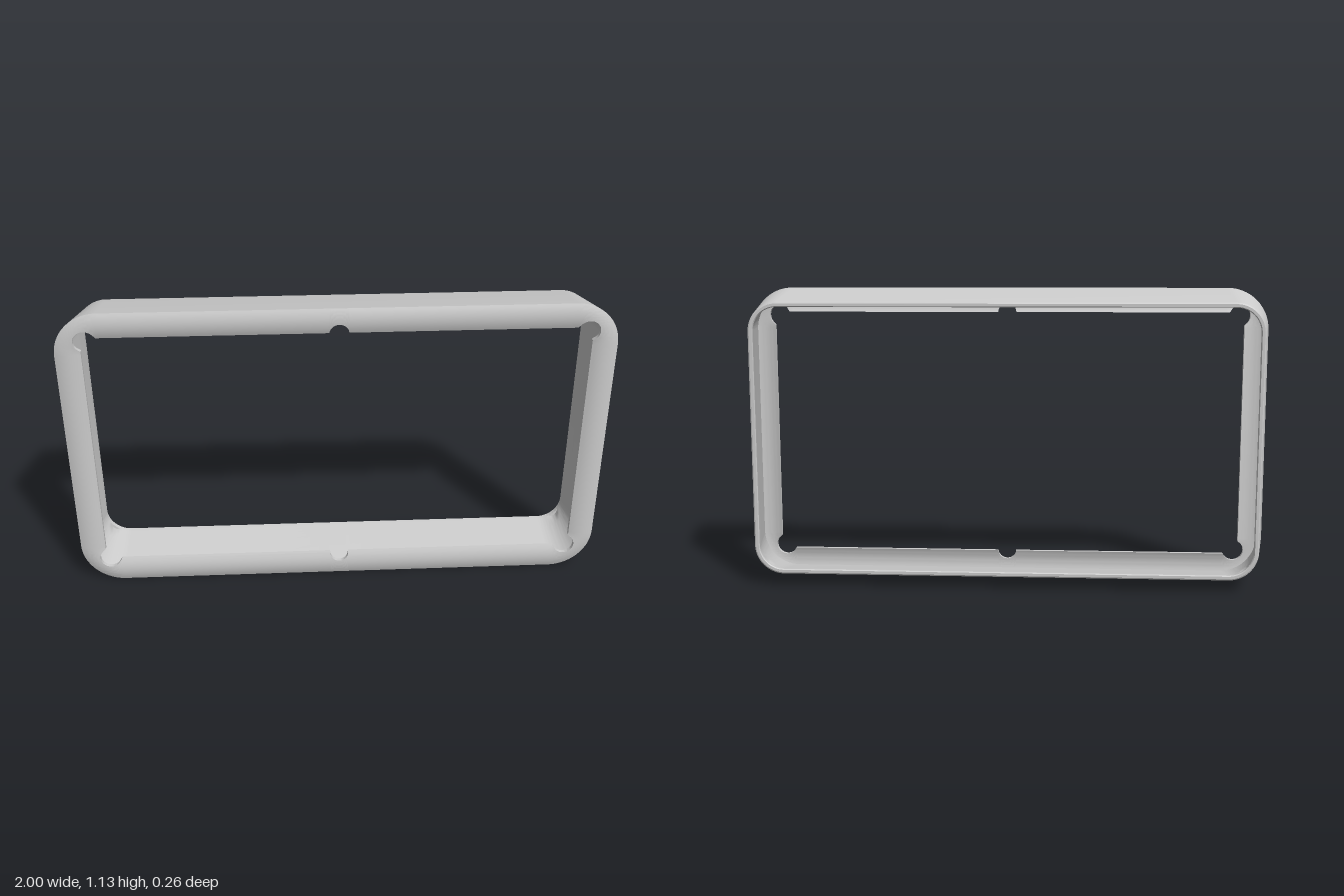
import * as THREE from 'three';
import { toCreasedNormals } from 'three/addons/utils/BufferGeometryUtils.js';

const HALF_W = 1, HALF_H = 0.565, R = 0.16;      // outer front outline
const CX = HALF_W - R, CY = HALF_H - R;          // corner arc centres
const LIP = 0.093;                               // front lip width
const MID_R = 0.035, CORNER_R = 0.04;            // notch radii

// Lip width along a ray from a corner centre, including the round corner notch
function cornerDepth(ux, uy) {
  let t = Math.min((R - LIP) / Math.max(ux, 1e-6), (R - LIP) / Math.max(uy, 1e-6));
  const cx = 0.05, cy = 0.055;
  const b = ux * cx + uy * cy;
  const disc = b * b - cx * cx - cy * cy + CORNER_R * CORNER_R;
  if (disc > 0) t = Math.max(t, b + Math.sqrt(disc));
  return R - t;
}

// Stations round the rounded rectangle, counter-clockwise seen from the front
function makeStations() {
  const stations = [];
  const signs = [[1, 1], [-1, 1], [-1, -1], [1, -1]];
  const arcSteps = 32, notchSteps = 20;
  signs.forEach(([sx, sy], k) => {
    for (let i = 0; i <= arcSteps; i++) {
      const a = (k + i / arcSteps) * Math.PI / 2;
      const nx = Math.cos(a), ny = Math.sin(a);
      stations.push({ x: sx * CX, y: sy * CY, nx, ny, corner: true,
        depth: cornerDepth(Math.abs(nx), Math.abs(ny)) });
    }
    // half-round notch in the middle of the top and bottom
    if (k % 2 === 0) {
      for (let i = 0; i <= notchSteps; i++) {
        const a = Math.PI * i / notchSteps;
        stations.push({ x: sy * MID_R * Math.cos(a), y: sy * CY, nx: 0, ny: sy,
          corner: false, depth: LIP - MID_R * Math.sin(a) });
      }
    }
  });
  return stations;
}

// Sweep a cross-section of [inset, z] points round the stations
function loft(stations, section) {
  const pos = [], index = [];
  const rows = stations.map(section);
  const n = rows[0].length, m = stations.length;
  stations.forEach((s, i) => rows[i].forEach(([d, z]) => {
    pos.push(s.x + s.nx * (R - d), s.y + s.ny * (R - d) + HALF_H, z);
  }));
  for (let i = 0; i < m; i++) {
    const a = i * n, b = ((i + 1) % m) * n;
    for (let j = 0; j < n - 1; j++) {
      index.push(a + j, b + j, b + j + 1, a + j, b + j + 1, a + j + 1);
    }
  }
  const g = new THREE.BufferGeometry();
  g.setAttribute('position', new THREE.Float32BufferAttribute(pos, 3));
  g.setIndex(index);
  return toCreasedNormals(g, 0.5);
}

// Shallow crowned face of the lip
const crown = d => 0.12 + 0.01 * (1 - ((d - LIP / 2) / (LIP / 2)) ** 2);
const taper = z => 0.2 * (0.12 - z);

// Tapered wall: inside from front to back, rear rim, outside from back to front
function wallSection(s) {
  const pts = [];
  const pocket = s.corner ? s.depth + 0.012 : 1;
  for (const z of [0.11, 0, -0.05, -0.065, -0.08, -0.095, -0.11]) {
    pts.push([Math.min(0.02 + taper(z), pocket), z]);
  }
  pts.push([0.02 + taper(-0.111), -0.111], [0.068, -0.126], [0.065, -0.13],
    [0.055, -0.13], [0.05, -0.127], [0.048, -0.12], [0, 0.12]);
  return pts;
}

// Lip: crowned face, cut edge, then the hollow back of the face
function lipSection(s) {
  const pts = [], steps = 10;
  for (let j = 0; j <= steps; j++) {
    const d = s.depth * j / steps;
    pts.push([d, crown(d)]);
  }
  for (let j = steps; j >= 0; j--) {
    const d = 0.02 + (s.depth - 0.02) * j / steps;
    pts.push([d, crown(d) - 0.015]);
  }
  return pts;
}

export function createModel() {
  const group = new THREE.Group();
  const material = new THREE.MeshStandardMaterial({ color: 0xcccccc });
  const stations = makeStations();
  const parts = { taperedWall: wallSection, frontLip: lipSection };
  for (const [name, section] of Object.entries(parts)) {
    const mesh = new THREE.Mesh(loft(stations, section), material);
    mesh.name = name;
    group.add(mesh);
  }
  group.name = 'bezelFrame';
  return group;
}
